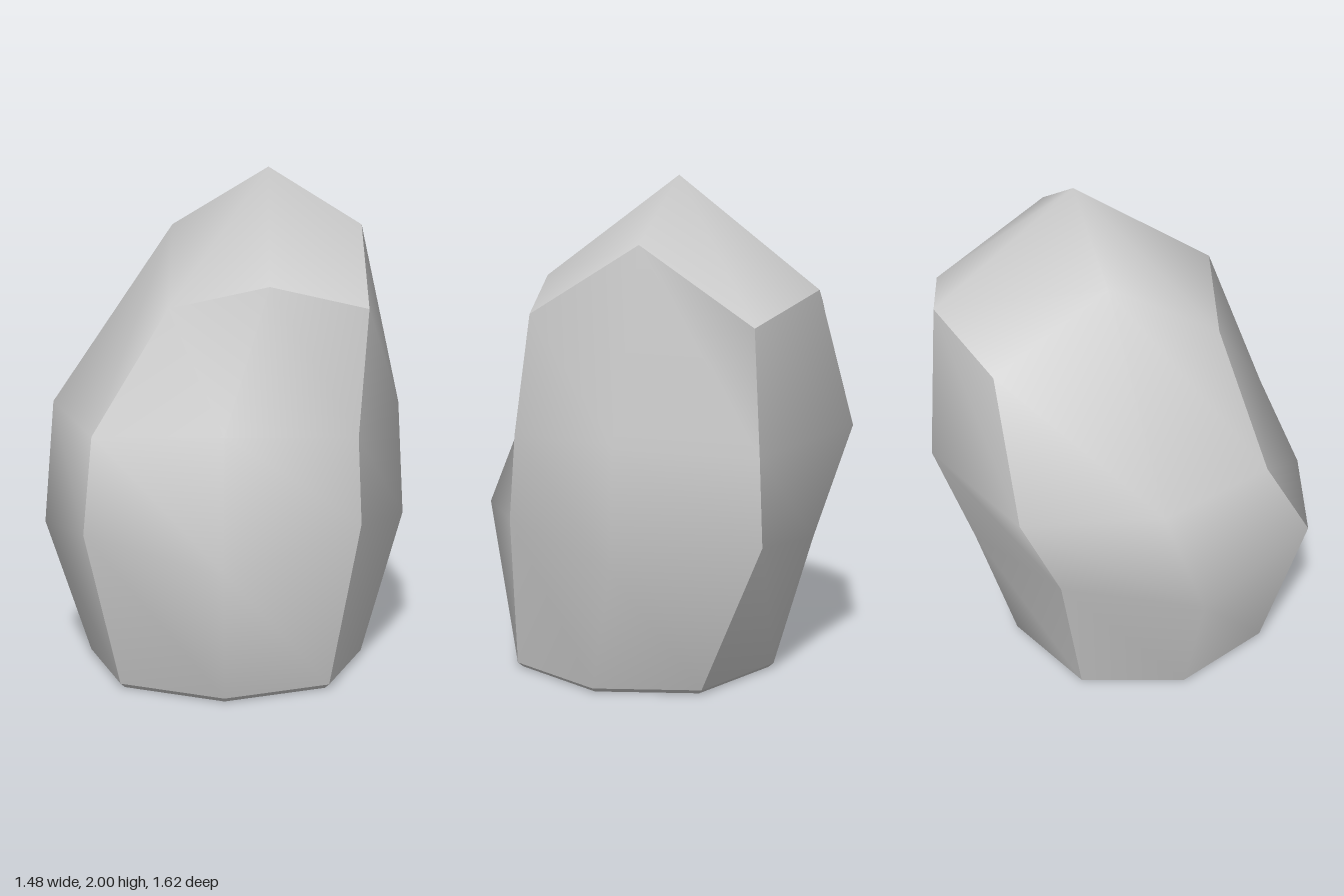
import * as THREE from 'three';

// Each ring has eight points [x, y, z]:
// front -x corner, front, front +x corner, +x side, back +x corner, back, back -x corner, -x side
const RINGS = [
  [[-0.41, 0.02, 0.47], [0, 0.02, 0.63], [0.41, 0.02, 0.47], [0.56, 0.02, 0.06],
    [0.41, 0.02, -0.34], [0, 0.02, -0.49], [-0.41, 0.02, -0.34], [-0.56, 0.02, 0.06]],
  [[-0.535, 0.66, 0.6], [0, 0.57, 0.81], [0.53, 0.66, 0.43], [0.737, 0.57, -0.1],
    [0.53, 0.66, -0.63], [0, 0.57, -0.65], [-0.535, 0.66, -0.46], [-0.74, 0.57, 0.06]],
  [[-0.515, 1.0, 0.41], [0, 1.04, 0.61], [0.515, 1.0, 0.41], [0.71, 1.04, -0.1],
    [0.515, 1.0, -0.61], [0, 1.04, -0.805], [-0.515, 1.0, -0.61], [-0.715, 1.04, -0.1]],
  [[-0.22, 1.485, 0.315], [0.17, 1.585, 0.433], [0.555, 1.485, 0.315], [0.55, 1.767, -0.14],
    [0.555, 1.485, -0.6], [0.17, 1.585, -0.715], [-0.22, 1.485, -0.6], [-0.22, 1.767, -0.14]],
];
const APEX = [0.17, 2, -0.14];

// Smooth surface through a grid of points; separate panels meet in hard edges
function panel(rows) {
  const cols = rows[0].length;
  const index = [];
  for (let r = 0; r < rows.length - 1; r++) {
    for (let c = 0; c < cols - 1; c++) {
      const a = r * cols + c;
      const d = a + cols;
      index.push(a, a + 1, d, a + 1, d + 1, d);
    }
  }
  const geometry = new THREE.BufferGeometry();
  geometry.setAttribute('position', new THREE.Float32BufferAttribute(rows.flat(2), 3));
  geometry.setIndex(index);
  geometry.computeVertexNormals();
  return geometry;
}

export function createModel() {
  const group = new THREE.Group();
  group.name = 'rock';
  const smooth = new THREE.MeshStandardMaterial({ color: 0xcccccc });
  const flat = new THREE.MeshStandardMaterial({ color: 0xcccccc, flatShading: true });
  const add = (name, geometry, material) => {
    const mesh = new THREE.Mesh(geometry, material);
    mesh.name = name;
    group.add(mesh);
  };
  const side = (...ids) => RINGS.map((ring) => ids.map((i) => ring[i]));

  // Three upright sides
  add('frontSide', panel(side(0, 1, 2)), smooth);
  add('leftSide', panel(side(2, 3, 4)), smooth);
  add('backSide', panel(side(4, 5, 6)), smooth);

  // The sloping side flows over into the peak
  const top = RINGS[3];
  add('slopingSideAndPeak', panel([
    ...side(6, 7, 0),
    [top[5], APEX, top[1]],
    [top[4], top[3], top[2]],
  ]), smooth);

  // Narrow bevel around the foot
  const foot = RINGS[0];
  const sole = foot.map(([x, , z]) => [x * 0.96, 0, 0.07 + (z - 0.07) * 0.96]);
  add('footBevel', panel([[...sole, sole[0]], [...foot, foot[0]]]), flat);

  // Flat underside
  const centre = sole.map(() => [0, 0, 0.07]);
  add('underside', panel([[...centre, centre[0]], [...sole, sole[0]]]), flat);

  return group;
}
